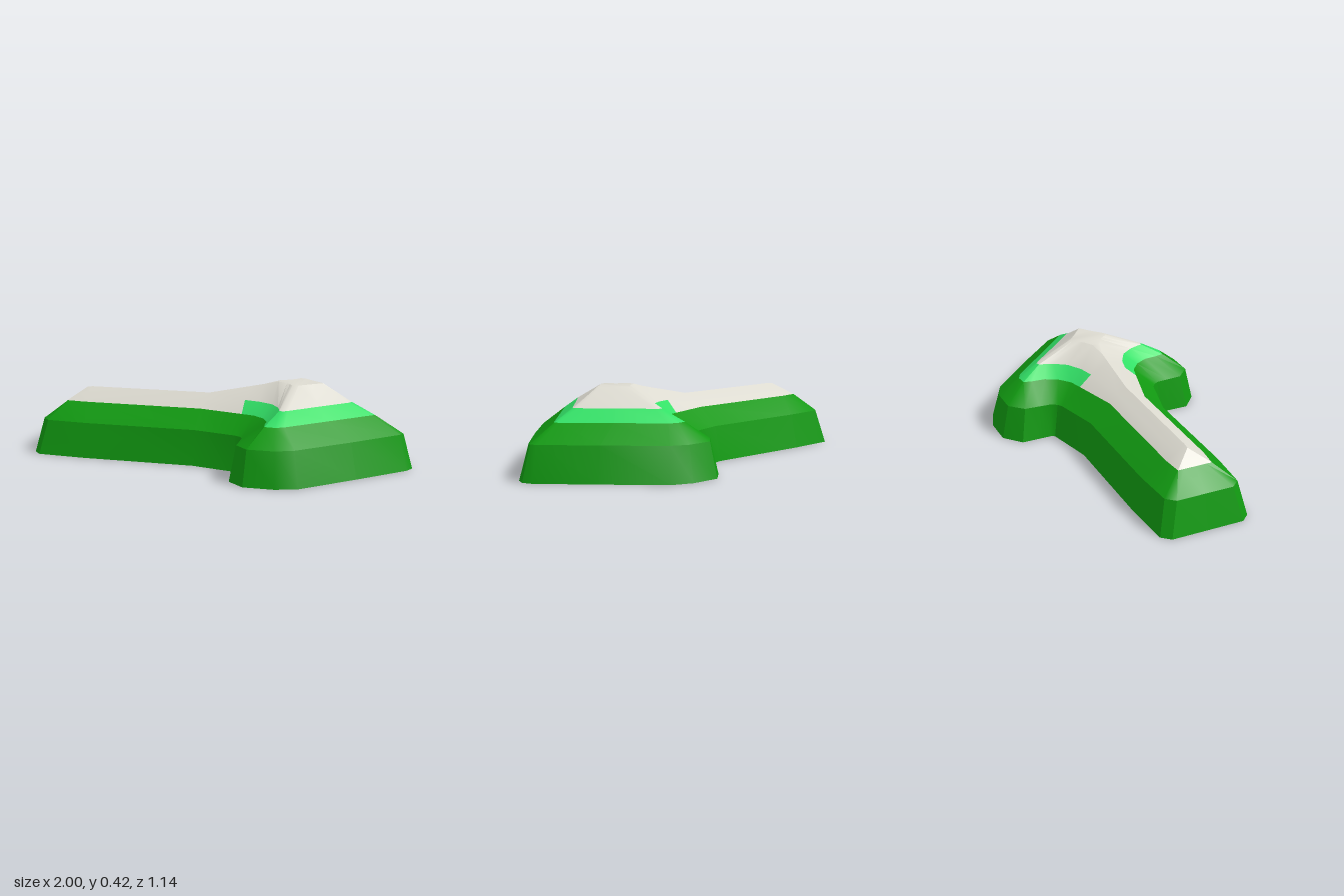
import * as THREE from 'three';
import { toCreasedNormals } from 'three/addons/utils/BufferGeometryUtils.js';

// Half outlines from the arrow tip round to the tail: base, shoulder and slope
// rings are [x, z]; rim and ridge rings are [x, y, z].
const BASE = [[1, 0], [0.98, 0.05], [0.76, 0.285], [0.52, 0.53], [0.41, 0.57], [0.25, 0.57], [0.16, 0.49],
  [0.16, 0.4], [0.16, 0.33], [0.15, 0.31], [0.13, 0.305], [-0.1, 0.25], [-0.7, 0.25], [-0.96, 0.235], [-1, 0.19], [-1, 0]];
const SHOULDER = [[0.95, 0], [0.935, 0.03], [0.725, 0.255], [0.49, 0.49], [0.4, 0.53], [0.26, 0.53], [0.19, 0.46],
  [0.185, 0.38], [0.18, 0.315], [0.16, 0.285], [0.135, 0.27], [-0.1, 0.21], [-0.7, 0.21], [-0.92, 0.195], [-0.96, 0.15], [-0.96, 0]];
const SLOPE = [[0.8, 0], [0.79, 0.015], [0.6, 0.21], [0.415, 0.4], [0.375, 0.42], [0.32, 0.415], [0.31, 0.37],
  [0.305, 0.3], [0.27, 0.235], [0.21, 0.185], [0.14, 0.165], [-0.1, 0.1], [-0.75, 0.1], [-0.85, 0.09], [-0.85, 0.06], [-0.85, 0]];
const RIM = [[0.68, 0.33, 0], [0.67, 0.33, 0.02], [0.54, 0.33, 0.155], [0.41, 0.33, 0.295], [0.39, 0.33, 0.31],
  [0.37, 0.33, 0.305], [0.36, 0.33, 0.27], [0.345, 0.33, 0.23], [0.3, 0.33, 0.165], [0.22, 0.33, 0.12], [0.14, 0.33, 0.1],
  [-0.1, 0.305, 0.05], [-0.75, 0.305, 0.05], [-0.81, 0.3, 0.045], [-0.81, 0.3, 0.03], [-0.81, 0.3, 0]];
const RIDGE = [[0.53, 0.42, 0], [0.52, 0.42, 0.01], [0.47, 0.42, 0.05], [0.42, 0.42, 0.095], [0.41, 0.42, 0.1],
  [0.39, 0.42, 0.1], [0.37, 0.42, 0.07], [0.35, 0.42, 0.05], [0.3, 0.42, 0.02], [0.22, 0.4, 0], [0.14, 0.383, 0],
  [-0.08, 0.337, 0], [-0.74, 0.335, 0], [-0.77, 0.33, 0], [-0.77, 0.33, 0], [-0.77, 0.33, 0]];

const HEAD_END = 10; // station where the bright band stops on the shaft
const atHeight = (ring, y) => ring.map(([x, z]) => new THREE.Vector3(x, y, z));
const toVectors = (ring) => ring.map((p) => new THREE.Vector3(...p));
const mirror = (p) => new THREE.Vector3(p.x, p.y, -p.z);

export function createModel() {
  const green = new THREE.MeshStandardMaterial({ color: 0x119911 });
  green.name = 'green';
  const brightGreen = new THREE.MeshStandardMaterial({ color: 0x32e066 });
  brightGreen.name = 'brightGreen';
  const stone = new THREE.MeshStandardMaterial({ color: 0xdcdad0 });
  stone.name = 'paleStone';

  const faces = [[], [], []]; // coordinates per material
  const triangle = (m, a, b, c) => {
    const area = b.clone().sub(a).cross(c.clone().sub(a)).length();
    if (area > 1e-8) for (const p of [a, b, c]) faces[m].push(p.x, p.y, p.z);
  };
  const quad = (m, a, b, c, d) => {
    triangle(m, a, b, c);
    triangle(m, a, c, d);
  };

  // Sloping sides: rings joined upward, on both halves
  const rings = [atHeight(BASE, 0), atHeight(SHOULDER, 0.18), atHeight(SLOPE, 0.27), toVectors(RIM), toVectors(RIDGE)];
  const last = BASE.length - 1;
  for (let r = 0; r < rings.length - 1; r++) {
    for (let i = 0; i < last; i++) {
      const m = r < 2 ? 0 : r === 2 && i < HEAD_END ? 1 : 2;
      const [a, b, c, d] = [rings[r][i], rings[r + 1][i], rings[r + 1][i + 1], rings[r][i + 1]];
      quad(m, a, b, c, d);
      quad(m, mirror(d), mirror(c), mirror(b), mirror(a));
    }
  }

  // Flat underside and summit, spanned from one half to the other
  const summit = rings[4];
  const floor = rings[0];
  for (let i = 0; i < last; i++) {
    quad(2, summit[i], mirror(summit[i]), mirror(summit[i + 1]), summit[i + 1]);
    quad(0, floor[i + 1], mirror(floor[i + 1]), mirror(floor[i]), floor[i]);
  }

  // One continuous surface with a material group for each colour
  let geometry = new THREE.BufferGeometry();
  geometry.setAttribute('position', new THREE.Float32BufferAttribute(faces.flat(), 3));
  geometry = toCreasedNormals(geometry, 0.55);
  geometry.clearGroups();
  let start = 0;
  faces.forEach((list, m) => {
    geometry.addGroup(start, list.length / 3, m);
    start += list.length / 3;
  });

  const body = new THREE.Mesh(geometry, [green, brightGreen, stone]);
  body.name = 'arrowShapedHill';
  const group = new THREE.Group();
  group.name = 'arrowHill';
  group.add(body);
  return group;
}
